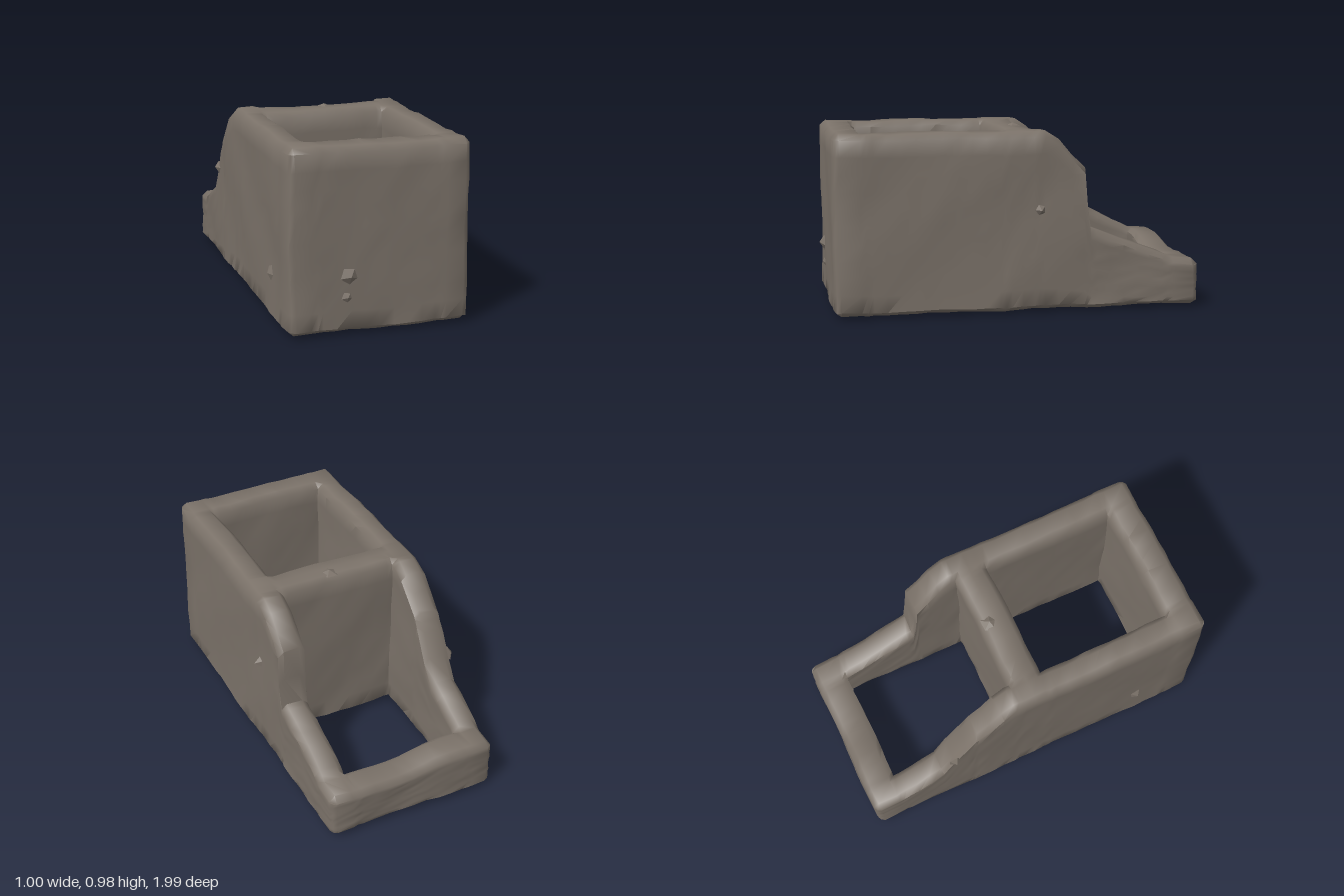
import * as THREE from 'three';
import { toCreasedNormals } from 'three/addons/utils/BufferGeometryUtils.js';

const BASE = 0.015, TOP = 0.963, BEVEL = 0.03;
// plan: outer block and the two open cells
const X = [-0.48, -0.335, 0.315, 0.466];
const Z = [-0.99, -0.82, -0.115, 0.065, 0.795, 0.965];

// broken top edge of each long wall: [z, height]
const EDGE_RIGHT = [[-1, 0.26], [-0.86, 0.265], [-0.64, 0.35], [-0.4, 0.45], [-0.375, 0.6], [-0.36, 0.77], [-0.27, 0.86], [-0.19, 0.945], [-0.14, TOP], [1, TOP]];
const EDGE_LEFT = [[-1, 0.295], [-0.86, 0.295], [-0.7, 0.37], [-0.57, 0.44], [-0.46, 0.63], [-0.38, 0.76], [-0.27, 0.86], [-0.19, 0.945], [-0.14, TOP], [1, TOP]];

function sample(edge, z) {
  let k = 1;
  while (k < edge.length - 1 && z > edge[k][0]) k++;
  const [z0, h0] = edge[k - 1], [z1, h1] = edge[k];
  return THREE.MathUtils.mapLinear(z, z0, z1, h0, h1);
}

function topHeight(x, z) {
  const s = THREE.MathUtils.smoothstep(x, X[1], X[2]);
  let h = THREE.MathUtils.lerp(sample(EDGE_LEFT, z), sample(EDGE_RIGHT, z), s);
  if (z < Z[1] + 0.01) h -= 0.025 * Math.exp(-(((x - 0.02) / 0.15) ** 2)); // worn dip in the low end
  return h;
}

// grid lines between wall faces, with a narrow strip beside each face for the worn edge
function gridLines(faces, extra, step) {
  const lines = [];
  for (let k = 0; k < faces.length - 1; k++) {
    const a = faces[k], b = faces[k + 1];
    const n = Math.max(1, Math.round((b - a - 2 * BEVEL) / step));
    lines.push(a);
    for (let i = 0; i <= n; i++) lines.push(a + BEVEL + (b - a - 2 * BEVEL) * i / n);
  }
  lines.push(faces[faces.length - 1], ...extra);
  return lines.sort((p, q) => p - q);
}

// weathering: gentle waves plus a small repeatable jitter
function hash(x, y, z) {
  const s = Math.sin(x * 127.1 + y * 311.7 + z * 74.7) * 43758.5453;
  return s - Math.floor(s) - 0.5;
}
function weather(x, y, z) {
  const w = 0.0035;
  return [
    x + w * Math.sin(9 * y + 7 * z) + 0.006 * hash(x, y, z),
    y + w * Math.sin(8 * x + 11 * z) + 0.006 * hash(y, z, x),
    z + w * Math.sin(10 * x + 8 * y) + 0.006 * hash(z, x, y),
  ];
}

function blockGeometry() {
  const xs = gridLines(X, [], 0.075);
  const zs = gridLines(Z, [-0.4, -0.375, -0.36], 0.075);
  const ROWS = 10, pos = [];

  const solid = (i, j) => {
    if (i < 0 || j < 0 || i >= xs.length - 1 || j >= zs.length - 1) return false;
    const x = (xs[i] + xs[i + 1]) / 2, z = (zs[j] + zs[j + 1]) / 2;
    const inCell = (z > Z[1] && z < Z[2]) || (z > Z[3] && z < Z[4]);
    return !(inCell && x > X[1] && x < X[2]);
  };
  const onRim = (i, j) => !(solid(i, j) && solid(i - 1, j) && solid(i, j - 1) && solid(i - 1, j - 1));

  // one grid vertex at height y, with the four outer corners eased inward
  function point([i, j], y) {
    let x = xs[i], z = zs[j];
    const endX = i === 0 || i === xs.length - 1, endZ = j === 0 || j === zs.length - 1;
    if (endX && endZ) { x -= Math.sign(x) * 0.01; z -= Math.sign(z) * 0.01; }
    return weather(x, y, z);
  }
  const wallY = ([i, j], r) => {
    const low = BASE + BEVEL * 0.7, high = topHeight(xs[i], zs[j]) - BEVEL;
    return low + (high - low) * r / ROWS;
  };
  const top = c => point(c, onRim(...c) ? wallY(c, ROWS) : topHeight(xs[c[0]], zs[c[1]]));
  const bottom = c => point(c, onRim(...c) ? wallY(c, 0) : BASE);
  const quad = (a, b, c, d) => pos.push(...a, ...b, ...c, ...a, ...c, ...d);

  for (let i = 0; i < xs.length - 1; i++) {
    for (let j = 0; j < zs.length - 1; j++) {
      if (!solid(i, j)) continue;
      const c = [[i, j], [i, j + 1], [i + 1, j + 1], [i + 1, j]];
      quad(...c.map(top));
      quad(...c.slice().reverse().map(bottom));
      // upright faces wherever the neighbour is open
      [[-1, 0], [0, 1], [1, 0], [0, -1]].forEach(([di, dj], e) => {
        if (solid(i + di, j + dj)) return;
        const a = c[e], b = c[(e + 1) % 4];
        for (let r = 0; r < ROWS; r++) {
          quad(point(a, wallY(a, r)), point(b, wallY(b, r)), point(b, wallY(b, r + 1)), point(a, wallY(a, r + 1)));
        }
      });
    }
  }
  const geo = new THREE.BufferGeometry();
  geo.setAttribute('position', new THREE.Float32BufferAttribute(pos, 3));
  return toCreasedNormals(geo, 0.95);
}

export function createModel() {
  const group = new THREE.Group();
  group.name = 'brokenBlock';
  const stone = new THREE.MeshStandardMaterial({ color: 0x7b7269 });
  stone.name = 'weatheredStone';

  const block = new THREE.Mesh(blockGeometry(), stone);
  block.name = 'hollowBlock';
  group.add(block);

  // small raised chips: centre, outward direction, height, radius
  const chips = [
    [[0.46, 0.55, -0.12], [1, 0, 0], 0.038, 0.03],
    [[-0.475, 0.55, -0.5], [-1, 0, 0], 0.025, 0.04],
    [[-0.475, 0.25, 0.62], [-1, 0, 0], 0.022, 0.05],
    [[-0.34, 0.5, 0.42], [1, 0, 0], 0.045, 0.035],
    [[-0.17, 0.31, 0.96], [0, 0, 1], 0.037, 0.055],
    [[-0.18, 0.2, 0.96], [0, 0, 1], 0.02, 0.035],
    [[0.33, 0.02, -0.84], [0, -1, 0], 0.02, 0.04],
    [[0.02, 0.955, -0.06], [0, 1, 0], 0.02, 0.05],
  ];
  const up = new THREE.Vector3(0, 1, 0);
  chips.forEach(([at, dir, height, radius], k) => {
    const geo = new THREE.ConeGeometry(radius, height, 5).translate(0, height / 2, 0);
    const chip = new THREE.Mesh(toCreasedNormals(geo.toNonIndexed(), 0.3), stone);
    chip.name = 'chip' + (k + 1);
    chip.position.set(...at);
    chip.quaternion.setFromUnitVectors(up, new THREE.Vector3(...dir));
    group.add(chip);
  });
  return group;
}
